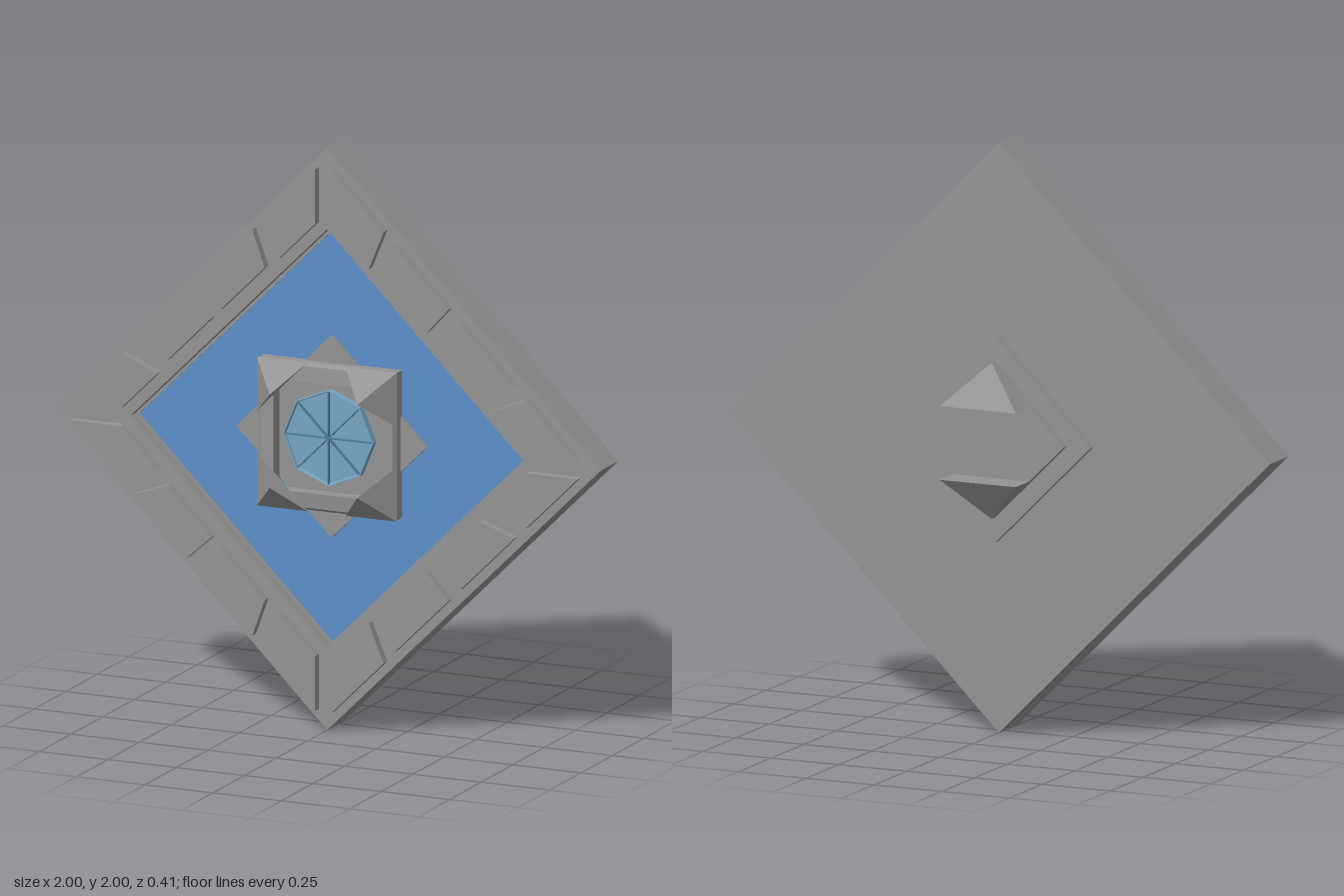
import * as THREE from 'three';
import { ConvexGeometry } from 'three/addons/geometries/ConvexGeometry.js';

const V = (x, y, z) => new THREE.Vector3(x, y, z);
const material = (color) => new THREE.MeshStandardMaterial({ color, flatShading: true });
const grey = material(0x949494);
const blue = material(0x5c90ca);
const paleBlue = material(0x78a6c4);
const darkBlue = material(0x4f7d9c);

// Square standing on its corner, given by its half diagonal
const diamond = (r) => [[r, 0], [0, r], [-r, 0], [0, -r]].map(([x, y]) => new THREE.Vector2(x, y));

// Flat plate between two depths, with an optional hole
function plate(points, z0, z1, hole) {
  const shape = new THREE.Shape(points);
  if (hole) shape.holes.push(new THREE.Path(hole));
  return new THREE.ExtrudeGeometry(shape, { depth: z1 - z0, bevelEnabled: false }).translate(0, 0, z0);
}

// Faceted ring or cap turned about the z axis from [radius, z] pairs
function turned(profile, sides, turn = 0) {
  const points = profile.map(([r, z]) => new THREE.Vector2(r, z));
  return new THREE.LatheGeometry(points, sides).rotateY(turn).rotateX(Math.PI / 2);
}

export function createModel() {
  const model = new THREE.Group();
  const body = new THREE.Group();
  body.position.y = 1;
  model.add(body);

  function add(name, geometry, mat = grey) {
    const mesh = new THREE.Mesh(geometry, mat);
    mesh.name = name;
    body.add(mesh);
  }

  // Slab with a recessed blue field inside a narrow step
  add('backSlab', plate(diamond(1), -0.045, 0.045));
  add('frame', plate(diamond(1), 0.045, 0.095, diamond(0.72)));
  add('frameStep', plate(diamond(0.72), 0.045, 0.054, diamond(0.706)));
  add('blueField', plate(diamond(0.712), 0.04, 0.05), blue);

  // Raised frame panels: two shapes, mirrored along each side and into all quadrants
  const panels = [
    [[0.03, 0.93], [0.22, 0.74], [0.165, 0.607], [0.03, 0.742]],
    [[0.26, 0.697], [0.457, 0.5], [0.376, 0.41], [0.215, 0.571]],
  ];
  for (const sx of [1, -1]) for (const sy of [1, -1]) for (const swap of [false, true]) {
    for (const panel of panels) {
      const points = panel.map(([a, b]) =>
        swap ? new THREE.Vector2(sx * b, sy * a) : new THREE.Vector2(sx * a, sy * b));
      add('framePanel', plate(points, 0.09, 0.125));
    }
  }

  // Front boss: diamond plate and square ring with a slightly sloped face
  const d = Math.SQRT2;
  add('frontDiamond', plate(diamond(0.348), 0.045, 0.062));
  add('squareRing', turned([
    [0.253 * d, 0.05], [0.253 * d, 0.088], [0.243 * d, 0.102], [0.19 * d, 0.108], [0.19 * d, 0.05],
  ], 4, Math.PI / 4));

  // Eight-sided gem with thin standing ribs between its panes
  add('gem', turned([[0.165, 0.055], [0.165, 0.09], [0.161, 0.09], [0.158, 0.078], [0, 0.078]], 8), paleBlue);
  for (let i = 0; i < 4; i++) {
    add('gemRib', new THREE.BoxGeometry(0.32, 0.004, 0.015)
      .translate(0, 0, 0.0825).rotateZ(i * Math.PI / 4), darkBlue);
  }

  // Pointed claws on the ring corners
  for (const sx of [1, -1]) for (const sy of [1, -1]) {
    add('cornerClaw', new ConvexGeometry([
      V(sx * 0.255, sy * 0.255, 0.1), V(sx * 0.255, sy * 0.07, 0.1),
      V(sx * 0.07, sy * 0.255, 0.1), V(sx * 0.16, sy * 0.16, 0.205)]));
  }

  // Stepped back mount with two facing wedges
  add('backPlate', plate(diamond(0.35), -0.072, -0.04));
  add('backStep', plate(diamond(0.265), -0.102, -0.07));
  for (const s of [1, -1]) {
    const corners = [V(0, s * 0.265, -0.1)];
    for (const x of [-0.14, 0.14]) corners.push(V(x, s * 0.125, -0.1), V(x, s * 0.125, -0.207));
    add('backWedge', new ConvexGeometry(corners));
  }
  return model;
}
